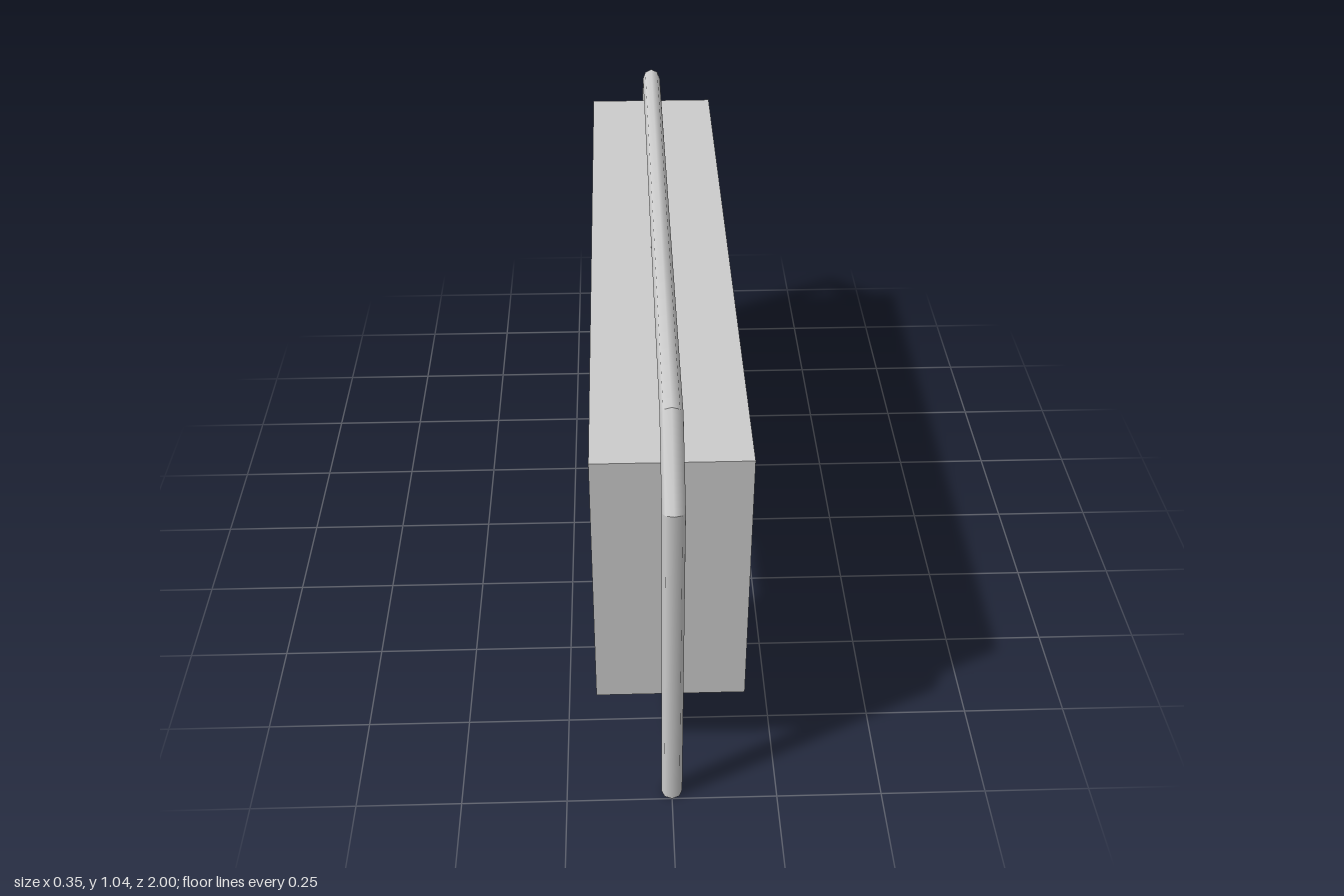
import * as THREE from 'three';

const PIPE_R = 0.025, STUB_R = 0.022;

export function createModel() {
  const group = new THREE.Group();
  const material = new THREE.MeshStandardMaterial({ color: 0xcccccc });
  const add = (name, geometry) => {
    const mesh = new THREE.Mesh(geometry, material);
    mesh.name = name;
    group.add(mesh);
    return mesh;
  };

  // Block with a notch through its lower edge, profile in (z, y)
  const outline = [
    [-0.876, 0.228], [0.175, 0.228], [0.175, 0.578], [0.527, 0.578],
    [0.527, 0.228], [0.876, 0.228], [0.876, 0.928], [-0.876, 0.928],
  ].map(([z, y]) => new THREE.Vector2(z, y));
  const block = new THREE.ExtrudeGeometry(new THREE.Shape(outline), { depth: 0.35, bevelEnabled: false });
  block.translate(0, 0, -0.175).rotateY(-Math.PI / 2);
  add('notchedBlock', block);

  // Bent pipe frame: straight runs whose ends are mitred to meet at each bend
  const path = [[0.975, 0], [0.975, 0.875], [0.83, 1.02], [-0.83, 1.02], [-0.975, 0.875], [-0.975, 0]];
  const names = ['frontLeg', 'frontCorner', 'topRail', 'backCorner', 'backLeg'];
  const mitre = Math.tan(Math.PI / 8);
  names.forEach((name, i) => {
    const [z0, y0] = path[i], [z1, y1] = path[i + 1];
    const first = i === 0, last = i === names.length - 1;
    const length = Math.hypot(z1 - z0, y1 - y0);
    const run = new THREE.CylinderGeometry(PIPE_R, PIPE_R, length, 8, 1, !(first || last));
    const p = run.attributes.position;
    for (let k = 0; k < p.count; k++) {
      const upper = p.getY(k) > 0;
      const slope = upper ? (last ? 0 : mitre) : (first ? 0 : -mitre);
      p.setY(k, p.getY(k) + slope * p.getZ(k));
    }
    run.rotateX(Math.atan2(z1 - z0, y1 - y0));
    run.translate(0, (y0 + y1) / 2, (z0 + z1) / 2);
    add(name, run);
  });

  // Short stubs joining the block to the top rail
  for (const z of [-0.526, 0, 0.526]) {
    const stub = new THREE.CylinderGeometry(STUB_R, STUB_R, 0.092, 12, 1, true);
    add('topStub', stub.translate(0, 0.974, z));
  }

  // Short stubs joining the block to the legs
  for (const side of [1, -1]) {
    const stub = new THREE.CylinderGeometry(STUB_R, STUB_R, 0.099, 12, 1, true);
    add(side > 0 ? 'frontStub' : 'backStub', stub.rotateX(Math.PI / 2).translate(0, 0.578, side * 0.9255));
  }

  return group;
}
